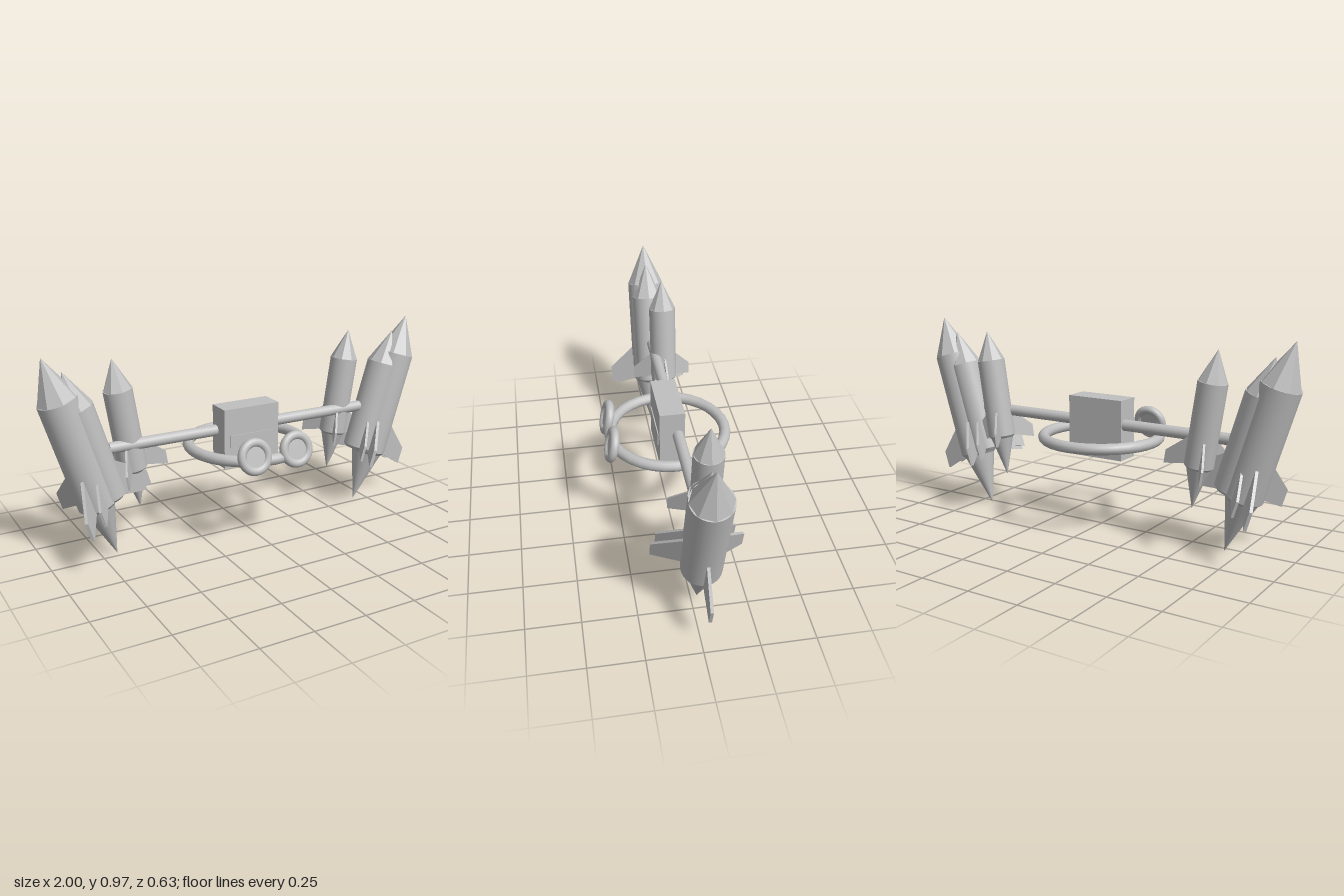
import * as THREE from 'three';

const grey = new THREE.MeshStandardMaterial({ color: 0xc0c0c0 });

function add(parent, name, geometry, x = 0, y = 0, z = 0) {
  const mesh = new THREE.Mesh(geometry, grey);
  mesh.name = name;
  mesh.position.set(x, y, z);
  parent.add(mesh);
  return mesh;
}

// Rocket standing on its tail point, axis along y, one fin towards +x
function makeRocket(name, withTail) {
  const rocket = new THREE.Group();
  rocket.name = name;

  // Faceted nose cone
  const nose = new THREE.ConeGeometry(0.093, 0.2, 8).toNonIndexed();
  nose.computeVertexNormals();
  add(rocket, 'nose', nose, 0, 0.914, 0);

  // Round body with a bevelled lower rim
  add(rocket, 'body', new THREE.CylinderGeometry(0.093, 0.093, 0.532, 32), 0, 0.548, 0);
  add(rocket, 'rim', new THREE.CylinderGeometry(0.093, 0.078, 0.016, 32), 0, 0.274, 0);

  // Pointed tail
  if (withTail) {
    const tail = new THREE.ConeGeometry(0.077, 0.267, 32);
    tail.rotateX(Math.PI);
    add(rocket, 'tail', tail, 0, 0.1335, 0);
  }

  // Three swept fins
  const shape = new THREE.Shape([
    new THREE.Vector2(0.07, 0.278),
    new THREE.Vector2(0.237, 0.231),
    new THREE.Vector2(0.237, 0.32),
    new THREE.Vector2(0.07, 0.47),
  ]);
  const finGeometry = new THREE.ExtrudeGeometry(shape, { depth: 0.014, bevelEnabled: false });
  finGeometry.translate(0, 0, -0.007);
  for (let i = 0; i < 3; i++) {
    add(rocket, 'fin', finGeometry).rotation.y = (i * Math.PI * 2) / 3;
  }
  return rocket;
}

export function createModel() {
  const model = new THREE.Group();
  model.name = 'rocketRig';

  // Rocket clusters, leaning outwards on each side
  const rockets = [
    { name: 'outerRocket', x: 0.675, y: 0.01, z: -0.03, lean: 0.295, scale: 1, tail: true },
    { name: 'innerRocket', x: 0.63, y: 0.075, z: -0.03, lean: 0.295, scale: 0.86, tail: false },
    { name: 'smallRocket', x: 0.53, y: 0.2, z: -0.077, lean: 0.15, scale: 0.728, tail: true },
  ];
  for (const side of [-1, 1]) {
    for (const r of rockets) {
      const rocket = makeRocket(r.name, r.tail);
      rocket.position.set(side * r.x, r.y, r.z);
      rocket.rotation.z = -side * r.lean;
      rocket.scale.setScalar(r.scale);
      model.add(rocket);
    }
  }

  // Cross bar
  const bar = new THREE.CylinderGeometry(0.027, 0.027, 1.38, 20);
  bar.rotateZ(Math.PI / 2);
  add(model, 'crossBar', bar, 0, 0.53, -0.033);

  // Central box with a front panel
  add(model, 'box', new THREE.BoxGeometry(0.294, 0.29, 0.12), 0, 0.505, -0.005);
  add(model, 'frontPanel', new THREE.BoxGeometry(0.23, 0.06, 0.006), 0, 0.49, 0.057);

  // Head band
  const band = new THREE.TorusGeometry(0.28, 0.027, 12, 32);
  band.rotateX(Math.PI / 2);
  add(model, 'band', band, 0, 0.455, -0.005);

  // Goggles, tilted back at the top
  for (const side of [-1, 1]) {
    const goggle = new THREE.Group();
    goggle.name = 'goggle';
    goggle.position.set(side * 0.11, 0.485, 0.278);
    goggle.rotation.x = -0.25;
    add(goggle, 'frame', new THREE.TorusGeometry(0.066, 0.021, 12, 28));
    const lens = new THREE.CylinderGeometry(0.054, 0.054, 0.02, 28);
    lens.rotateX(Math.PI / 2);
    add(goggle, 'lens', lens);
    model.add(goggle);
  }
  return model;
}
